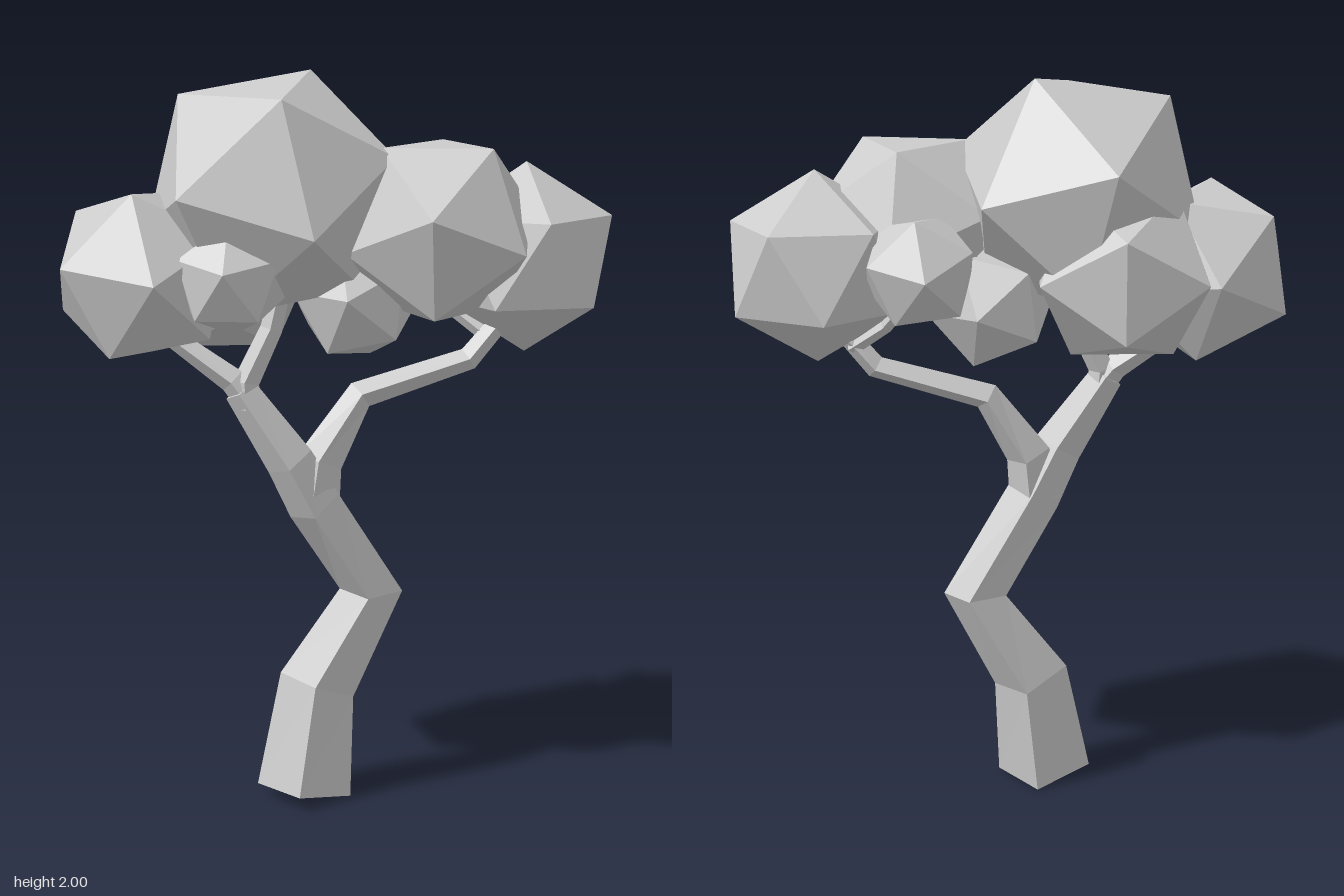
import * as THREE from 'three';

const V = (a) => new THREE.Vector3(...a);
const material = new THREE.MeshStandardMaterial({ color: 0xcccccc, flatShading: true });

// Orthonormal basis: first axis along a, second in the plane of a and b
function basis(a, b) {
  const x = a.clone().normalize();
  const y = b.clone().addScaledVector(x, -b.dot(x)).normalize();
  return new THREE.Matrix4().makeBasis(x, y, x.clone().cross(y));
}

// Four-sided limb swept through [x, y, z, radius] stations
function limb(name, stations) {
  const pts = stations.map((s) => V(s.slice(0, 3)));
  const pos = [];
  const index = [];
  const last = pts.length - 1;
  pts.forEach((p, i) => {
    const n = new THREE.Vector3();
    if (i > 0) n.add(p.clone().sub(pts[i - 1]).normalize());
    if (i < last) n.add(pts[i + 1].clone().sub(p).normalize());
    n.normalize();
    const u = new THREE.Vector3(0, 0, 1);
    u.addScaledVector(n, -n.z).normalize();
    const v = n.clone().cross(u);
    for (let k = 0; k < 4; k++) {
      const a = (k * Math.PI) / 2;
      const c = p.clone()
        .addScaledVector(u, Math.cos(a) * stations[i][3])
        .addScaledVector(v, Math.sin(a) * stations[i][3]);
      pos.push(c.x, c.y, c.z);
      if (i < last) {
        const a0 = i * 4 + k;
        const a1 = i * 4 + ((k + 1) % 4);
        index.push(a0, a1, a1 + 4, a0, a1 + 4, a0 + 4);
      }
    }
  });
  const e = last * 4;
  index.push(0, 2, 1, 0, 3, 2, e, e + 1, e + 2, e, e + 2, e + 3);
  let geo = new THREE.BufferGeometry();
  geo.setAttribute('position', new THREE.Float32BufferAttribute(pos, 3));
  geo.setIndex(index);
  geo = geo.toNonIndexed();
  geo.computeVertexNormals();
  const mesh = new THREE.Mesh(geo, material);
  mesh.name = name;
  return mesh;
}

// Icosahedral leaf clump: centre, radius and two neighbouring corner points that set its turn
const T = (1 + Math.sqrt(5)) / 2;
const icoBasisInverse = basis(new THREE.Vector3(-1, T, 0), new THREE.Vector3(1, T, 0)).transpose();

function clump(name, centre, radius, cornerA, cornerB) {
  const c = V(centre);
  const turn = basis(V(cornerA).sub(c), V(cornerB).sub(c)).multiply(icoBasisInverse);
  const mesh = new THREE.Mesh(new THREE.IcosahedronGeometry(radius, 0), material);
  mesh.quaternion.setFromRotationMatrix(turn);
  mesh.position.copy(c);
  mesh.name = name;
  return mesh;
}

export function createModel() {
  const tree = new THREE.Group();
  tree.name = 'tree';

  // Crooked trunk and its branches
  const wood = new THREE.Group();
  wood.name = 'wood';
  wood.add(
    limb('trunk', [
      [-0.087, 0.02, 0.07, 0.13], [-0.055, 0.312, 0.025, 0.106], [0.088, 0.567, -0.053, 0.087],
      [-0.058, 0.83, 0.055, 0.074], [-0.12, 0.96, 0.095, 0.066], [-0.25, 1.16, 0.125, 0.045],
    ]),
    limb('leftBranch', [
      [-0.22, 1.12, 0.12, 0.04], [-0.27, 1.185, 0.125, 0.036],
      [-0.42, 1.29, 0.12, 0.028], [-0.5, 1.42, 0.12, 0.024],
    ]),
    limb('middleBranch', [
      [-0.23, 1.11, 0.12, 0.04], [-0.235, 1.18, 0.12, 0.036],
      [-0.17, 1.32, 0.09, 0.03], [-0.13, 1.5, 0.07, 0.026],
    ]),
    limb('rightBranch', [
      [-0.06, 0.82, 0.055, 0.07], [-0.045, 0.95, 0.04, 0.062], [0.06, 1.125, -0.02, 0.04],
      [0.35, 1.215, -0.1, 0.032], [0.47, 1.36, -0.13, 0.026],
    ]),
    limb('rightTwig', [[0.41, 1.27, -0.12, 0.022], [0.31, 1.34, -0.15, 0.02], [0.21, 1.46, -0.21, 0.018]]),
  );
  tree.add(wood);

  // Crown of leaf clumps
  const crown = new THREE.Group();
  crown.name = 'crown';
  crown.add(
    clump('topClump', [-0.175, 1.684, 0.049], 0.355, [-0.08, 2.0, -0.088], [-0.42, 1.945, 0.06]),
    clump('rightFrontClump', [0.272, 1.585, 0.008], 0.28, [0.419, 1.808, 0.093], [0.125, 1.808, 0.093]),
    clump('farRightClump', [0.5, 1.493, -0.137], 0.26, [0.5, 1.755, -0.137], [0.73, 1.61, -0.137]),
    clump('farLeftClump', [-0.51, 1.468, 0.125], 0.257, [-0.515, 1.69, 0.24], [-0.7, 1.615, 0.05]),
    clump('leftBackClump', [-0.31, 1.478, -0.03], 0.262, [-0.57, 1.47, -0.135], [-0.345, 1.6, -0.25]),
    clump('smallFrontClump', [-0.26, 1.473, 0.22], 0.158, [-0.26, 1.505, 0.375], [-0.13, 1.53, 0.285]),
    clump('lowMiddleClump', [0.045, 1.39, -0.035], 0.18, [0.04, 1.405, 0.14], [-0.03, 1.23, 0.04]),
    clump('smallBackClump', [0.2, 1.508, -0.23], 0.163, [0.155, 1.505, -0.385], [0.32, 1.535, -0.34]),
  );
  tree.add(crown);
  return tree;
}
